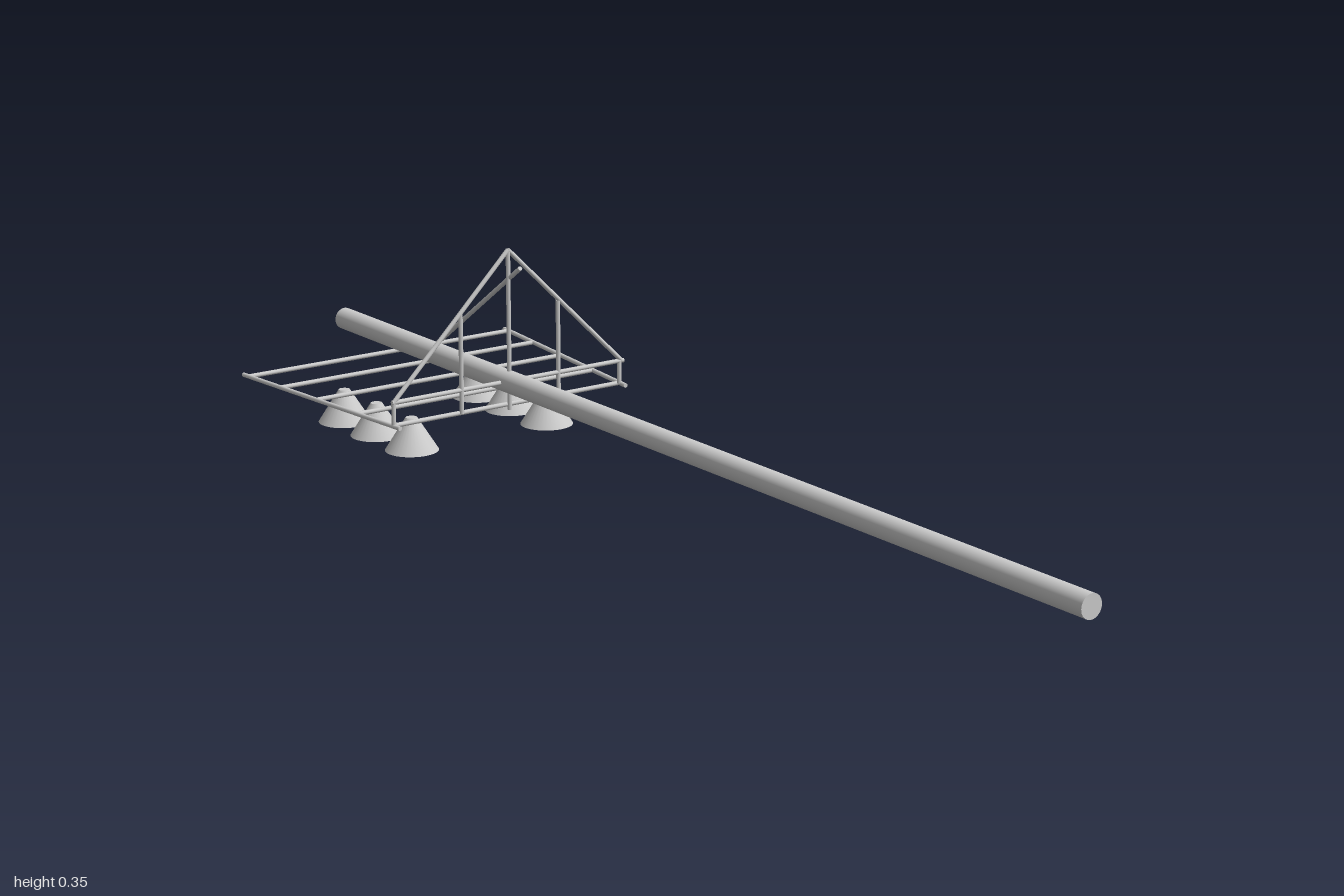
import * as THREE from 'three';

export function createModel() {
  const model = new THREE.Group();
  const material = new THREE.MeshStandardMaterial({ color: 0xcccccc });
  const up = new THREE.Vector3(0, 1, 0);

  // Straight round bar between two points
  function bar(name, a, b, radius = 0.004, sides = 10) {
    const start = new THREE.Vector3(...a);
    const end = new THREE.Vector3(...b);
    const dir = end.clone().sub(start);
    const mesh = new THREE.Mesh(
      new THREE.CylinderGeometry(radius, radius, dir.length(), sides), material);
    mesh.name = name;
    mesh.position.copy(start).add(end).multiplyScalar(0.5);
    mesh.quaternion.setFromUnitVectors(up, dir.normalize());
    model.add(mesh);
  }

  const cx = -0.004; // centre line of pole and truss
  const railY = 0.081;
  const chordY = 0.122;
  const apexY = 0.352;
  const trussZ = -0.456;

  // Long main pole
  bar('mainPole', [cx, 0.121, -1], [cx, 0.121, 1], 0.0195, 32);

  // Splayed side rails of the flat frame
  const backZ = -0.893, frontZ = -0.438;
  const leftX = (z) => THREE.MathUtils.mapLinear(z, backZ, frontZ, 0.274, 0.226);
  const rightX = (z) => THREE.MathUtils.mapLinear(z, backZ, frontZ, -0.276, -0.235);
  bar('leftRail', [leftX(backZ), railY, backZ], [leftX(frontZ), railY, frontZ]);
  bar('rightRail', [rightX(backZ), railY, backZ], [rightX(frontZ), railY, frontZ]);

  // Cross bars between the rails
  for (const z of [-0.877, -0.78, -0.675, -0.557, -0.46]) {
    bar('crossBar', [rightX(z), railY, z], [leftX(z), railY, z]);
  }

  // Upright triangular truss
  bar('trussChord', [-0.239, chordY, trussZ], [0.234, chordY, trussZ]);
  bar('rightRafter', [-0.236, chordY, trussZ], [cx, apexY, trussZ]);
  bar('leftRafter', [0.23, chordY, trussZ], [cx, apexY, trussZ]);
  for (const [name, x, top] of [
    ['endPost', -0.236, chordY], ['endPost', 0.225, chordY],
    ['sidePost', -0.101, 0.254], ['sidePost', 0.097, 0.25],
  ]) bar(name, [x, railY, trussZ], [x, top, trussZ]);
  bar('centrePost', [cx, 0.072, trussZ], [cx, apexY, trussZ]);

  // Diagonal brace from the truss down to the pole
  bar('brace', [-0.002, 0.326, -0.422], [0.001, 0.14, -0.69]);

  // Two rows of hanging cone lamps
  const coneGeometry = new THREE.CylinderGeometry(0.01, 0.0465, 0.058, 32);
  for (const x of [-0.14, 0.139]) {
    for (const z of [-0.778, -0.67, -0.556]) {
      const cone = new THREE.Mesh(coneGeometry, material);
      cone.name = 'coneLamp';
      cone.position.set(x, 0.029, z);
      model.add(cone);
    }
  }

  return model;
}
